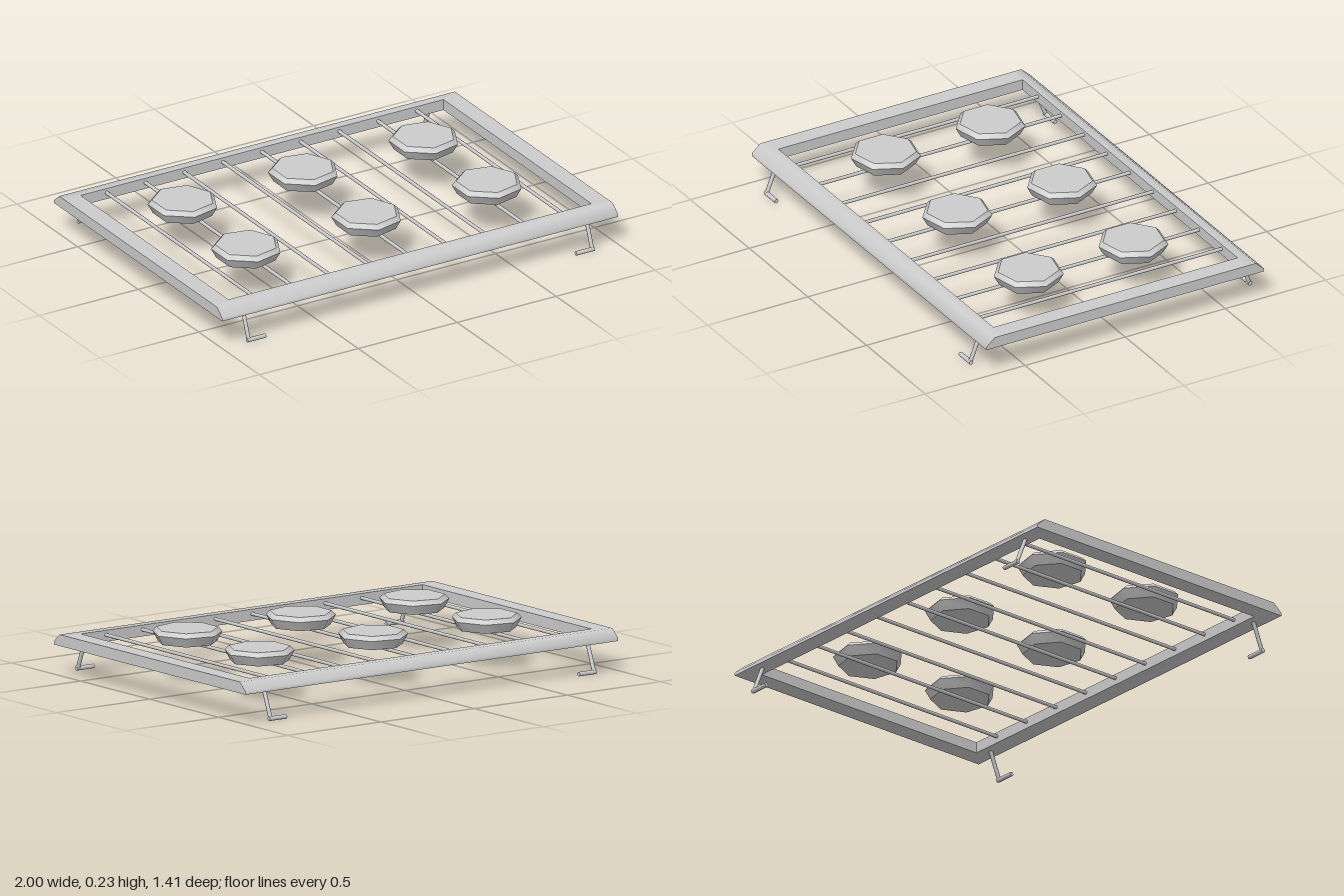
import * as THREE from 'three';
import { toCreasedNormals } from 'three/addons/utils/BufferGeometryUtils.js';

// straight round rod between two points
function rod(a, b, radius, material, name) {
  const dir = new THREE.Vector3().subVectors(b, a);
  const mesh = new THREE.Mesh(new THREE.CylinderGeometry(radius, radius, dir.length(), 8), material);
  mesh.position.copy(a).add(b).multiplyScalar(0.5);
  mesh.quaternion.setFromUnitVectors(new THREE.Vector3(0, 1, 0), dir.normalize());
  mesh.name = name;
  return mesh;
}

export function createModel() {
  const model = new THREE.Group();
  model.name = 'grillRack';
  const metal = new THREE.MeshStandardMaterial({ color: 0xcccccc });
  metal.name = 'light grey';
  const add = (geometry, name, parent = model) => {
    const mesh = new THREE.Mesh(geometry, metal);
    mesh.name = name;
    parent.add(mesh);
    return mesh;
  };

  // front and back rails with a bevelled outer edge
  const profile = new THREE.Shape([
    [0.61, 0.13], [0.694, 0.13], [0.694, 0.143], [0.652, 0.18], [0.61, 0.18],
  ].map(([z, y]) => new THREE.Vector2(z, y)));
  const extruded = new THREE.ExtrudeGeometry(profile, { depth: 2, bevelEnabled: false });
  extruded.rotateY(-Math.PI / 2).translate(1, 0, 0);
  const railGeometry = toCreasedNormals(extruded, 0.9);
  add(railGeometry, 'frontRail');
  add(railGeometry, 'backRail').rotation.y = Math.PI;

  // side rails
  for (const side of [-1, 1]) {
    const rail = add(new THREE.BoxGeometry(0.083, 0.05, 1.22), side > 0 ? 'leftRail' : 'rightRail');
    rail.position.set(side * 0.9585, 0.155, 0);
  }

  // cooking bars
  for (let i = -4; i <= 4; i++) {
    const x = i * 0.196 - 0.002;
    model.add(rod(new THREE.Vector3(x, 0.16, -0.615), new THREE.Vector3(x, 0.16, 0.615), 0.008, metal, 'bar'));
  }

  // seven-sided patties with a tapered underside
  const pattyProfile = [[0, 0.166], [0.132, 0.166], [0.155, 0.208], [0.136, 0.227], [0, 0.228]]
    .map(([r, y]) => new THREE.Vector2(r, y));
  const pattyGeometry = toCreasedNormals(new THREE.LatheGeometry(pattyProfile, 7, Math.PI / 2), 0.82);
  for (const x of [-0.609, 0, 0.609]) {
    for (const z of [-0.267, 0.256]) add(pattyGeometry, 'patty').position.set(x, 0, z);
  }

  // splayed legs with feet turned inward
  for (const sx of [-1, 1]) {
    for (const sz of [-1, 1]) {
      const leg = new THREE.Group();
      leg.name = (sz > 0 ? 'front' : 'back') + (sx > 0 ? 'Left' : 'Right') + 'Leg';
      const top = new THREE.Vector3(sx * 0.868, 0.135, sz * 0.648);
      const ankle = new THREE.Vector3(sx * 0.868, 0.01, sz * 0.697);
      const heel = new THREE.Vector3(sx * 0.877, 0.01, sz * 0.697);
      const toe = new THREE.Vector3(sx * 0.785, 0.01, sz * 0.697);
      leg.add(rod(top, ankle, 0.009, metal, 'shank'), rod(heel, toe, 0.01, metal, 'foot'));
      model.add(leg);
    }
  }
  return model;
}
